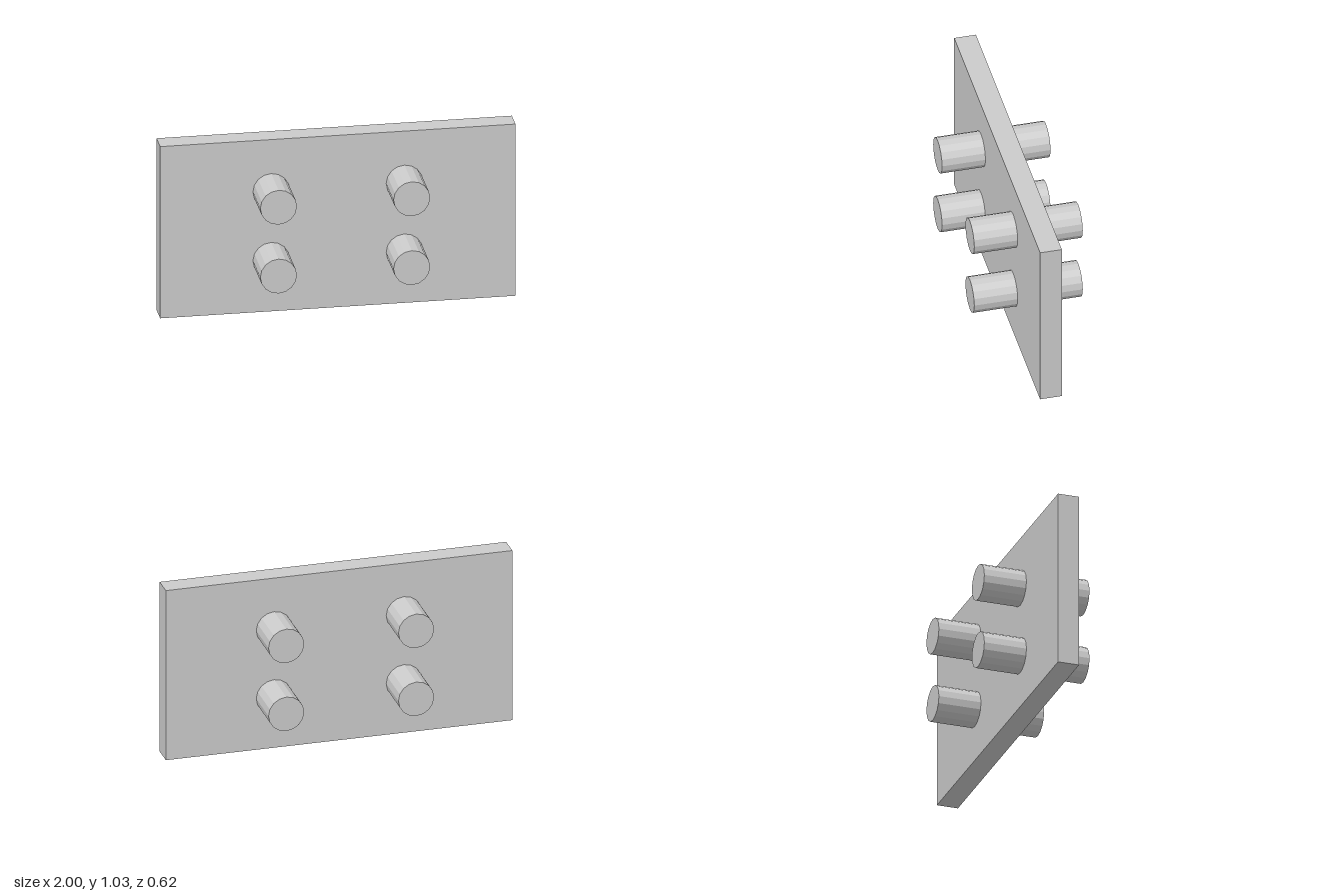
import * as THREE from 'three';

export function createModel() {
  const model = new THREE.Group();
  const material = new THREE.MeshStandardMaterial({ color: 0xcccccc, flatShading: true });

  // Upright rectangular plate
  const height = 1.03;
  const plate = new THREE.Mesh(new THREE.BoxGeometry(2, height, 0.124), material);
  plate.name = 'plate';
  plate.position.y = height / 2;
  model.add(plate);

  // Four 16-sided pegs running through the plate, front to back
  const pegGeometry = new THREE.CylinderGeometry(0.103, 0.103, 0.62, 16).rotateX(Math.PI / 2);
  for (const [row, y] of [['lower', 0.31], ['upper', 0.723]]) {
    for (const [side, x] of [['Left', 0.375], ['Right', -0.375]]) {
      const peg = new THREE.Mesh(pegGeometry, material);
      peg.name = `${row}${side}Peg`;
      peg.position.set(x, y, 0);
      model.add(peg);
    }
  }

  return model;
}
